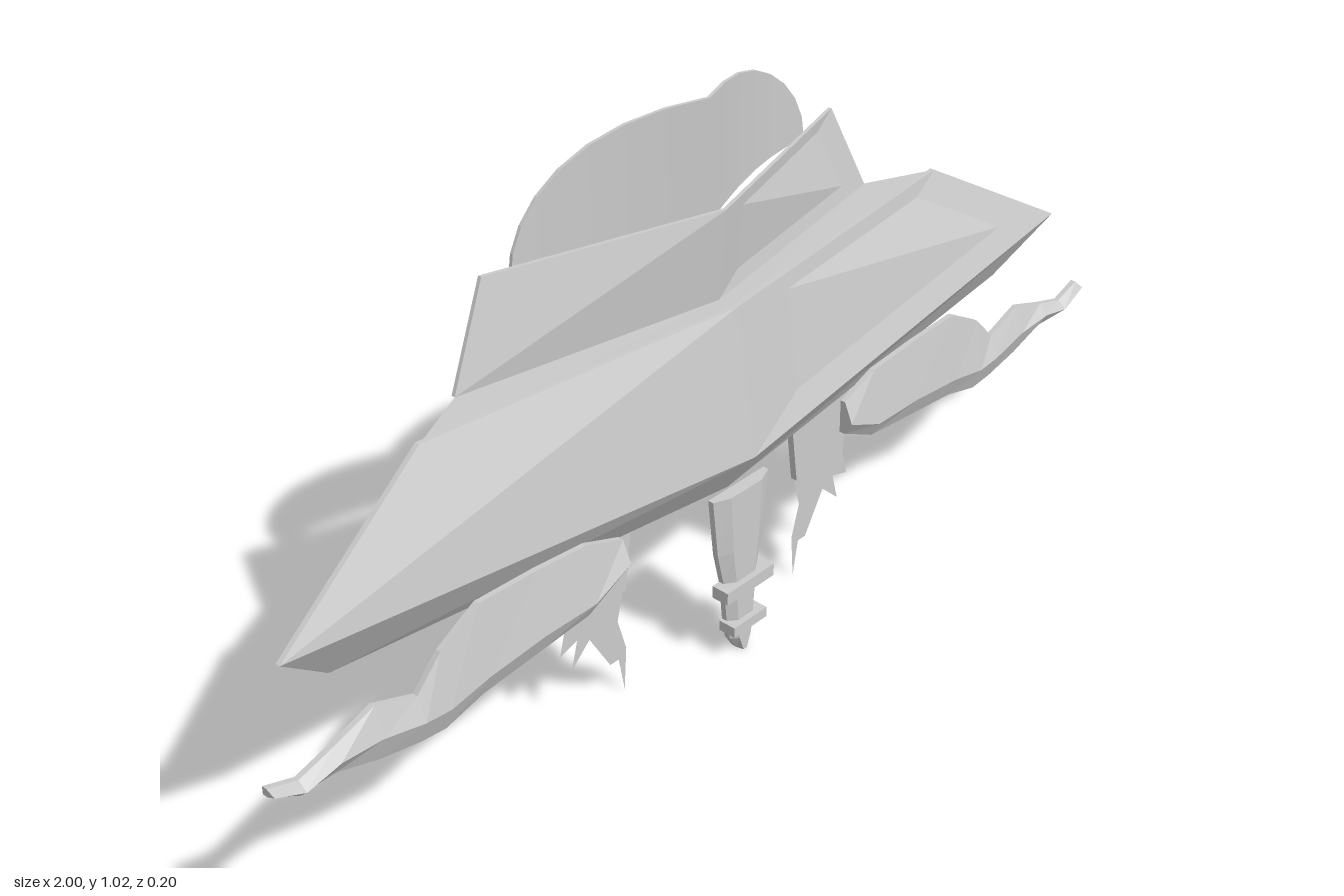
import * as THREE from 'three';

const grey = new THREE.MeshStandardMaterial({ color: 0xcccccc, flatShading: true, side: THREE.DoubleSide });

function mesh(name, geometry) {
  const m = new THREE.Mesh(geometry, grey);
  m.name = name;
  return m;
}

// Completes a centre-to-edge row with its mirror image
const mirrorRow = (row) => [...row.slice(1).reverse().map(([x, y, z]) => [-x, y, z]), ...row];

// Grid of points seen from the front (rows run upward); backZ closes it into a thin solid
function sheet(rows, backZ) {
  const pos = [];
  const quad = (a, b, c, d) => pos.push(...a, ...b, ...c, ...a, ...c, ...d);
  const back = ([x, y, z]) => [x, y, backZ(z)];
  for (let i = 0; i < rows.length - 1; i++) {
    for (let j = 0; j < rows[i].length - 1; j++) {
      const q = [rows[i][j], rows[i][j + 1], rows[i + 1][j + 1], rows[i + 1][j]];
      quad(...q);
      if (backZ) quad(...q.map(back).reverse());
    }
  }
  if (backZ) {
    const last = rows.length - 1;
    const rim = [
      ...rows[0],
      ...rows.slice(1, last).map((r) => r[r.length - 1]),
      ...[...rows[last]].reverse(),
      ...rows.slice(1, last).map((r) => r[0]).reverse(),
    ];
    rim.forEach((p, i) => {
      const q = rim[(i + 1) % rim.length];
      quad(p, back(p), back(q), q);
    });
  }
  const g = new THREE.BufferGeometry();
  g.setAttribute('position', new THREE.Float32BufferAttribute(pos, 3));
  g.computeVertexNormals();
  return g;
}

const outline = (pts) => new THREE.Shape(pts.map(([x, y]) => new THREE.Vector2(x, y)));

// Flat plate between z0 and z1
function plate(pts, z0, z1) {
  return new THREE.ExtrudeGeometry(outline(pts), { depth: z1 - z0, bevelEnabled: false }).translate(0, 0, z0);
}

export function createModel() {
  const model = new THREE.Group();
  model.name = 'saucer';

  // Hull: two folded panels meeting at the rim
  const hullTop = mirrorRow([[0, 0.69, 0.06], [0.615, 0.69, -0.012]]);
  model.add(mesh('hull', sheet([
    mirrorRow([[0, 0.335, 0.04], [0.82, 0.395, -0.008]]),
    mirrorRow([[0, 0.42, 0.1], [0.935, 0.5, 0.04]]),
    hullTop,
  ], (z) => z - 0.009)));

  // Ledge and upper deck
  const deckBase = mirrorRow([[0, 0.688, 0.02], [0.49, 0.688, -0.073]]);
  model.add(mesh('ledge', sheet([hullTop, deckBase])));
  model.add(mesh('upperDeck', sheet([
    deckBase,
    mirrorRow([[0, 0.855, 0.035], [0.41, 0.855, -0.088]]),
  ], (z) => z - 0.007)));

  // Dome: half-ellipse sheet that curves back toward its sides
  const domeRows = [];
  for (let i = 0; i <= 4; i++) {
    const row = [];
    for (let j = 0; j <= 8; j++) {
      const a = (j / 8) * Math.PI / 2;
      const x = Math.sin(a);
      row.push([0.345 * x, 0.82 + 0.215 * Math.cos(a) * i / 4, -0.095 * Math.sin(x * Math.PI / 2)]);
    }
    domeRows.push(mirrorRow(row));
  }
  model.add(mesh('dome', sheet(domeRows, (z) => z - 0.006)));

  // Arm stations: x, bottom, ridge, top
  const arm = [
    [0.28, 0.32, 0.345, 0.385], [0.36, 0.28, 0.31, 0.415], [0.47, 0.27, 0.31, 0.425],
    [0.59, 0.26, 0.3, 0.43], [0.67, 0.24, 0.285, 0.385], [0.72, 0.245, 0.29, 0.332],
    [0.8, 0.262, 0.31, 0.362], [0.88, 0.288, 0.315, 0.335], [0.945, 0.287, 0.302, 0.316],
    [1, 0.32, 0.328, 0.335],
  ];
  const armRows = [
    arm.map(([x, b]) => [x, b, 0.066]),
    arm.map(([x, , r]) => [x, r, 0.083]),
    arm.map(([x, , , t]) => [x, t, 0.066]),
  ];

  for (const [side, s] of [['left', 1], ['right', -1]]) {
    const rows = s > 0 ? armRows : armRows.map((r) => r.map(([x, y, z]) => [-x, y, z]).reverse());
    model.add(mesh(side + 'Arm', sheet(rows, () => 0.056)));

    // Outer leg with a paper-thin claw
    const flip = (pts) => pts.map(([x, y]) => [s * x, y]);
    model.add(mesh(side + 'Leg', plate(flip([
      [0.22, 0.225], [0.35, 0.225], [0.365, 0.39], [0.2, 0.38],
    ]), -0.003, 0.01)));
    const claw = new THREE.ShapeGeometry(outline(flip([
      [0.22, 0.225], [0.355, 0.225], [0.37, 0.168], [0.33, 0.18], [0.345, 0.125], [0.302, 0.165],
      [0.255, 0.085], [0.235, 0.085], [0.222, 0.015], [0.216, 0.1], [0.235, 0.165],
    ])));
    model.add(mesh(side + 'Claw', claw.translate(0, 0, 0.004)));
  }

  // Centre leg: half-width per height, with a raised flat front
  const legProfile = [[0.015, 0.008], [0.045, 0.027], [0.09, 0.035], [0.165, 0.042], [0.235, 0.058], [0.35, 0.07]];
  model.add(mesh('centreLeg', sheet(
    legProfile.map(([y, w]) => [[-w, y, 0.07], [-w * 0.55, y, 0.083], [w * 0.55, y, 0.083], [w, y, 0.07]]),
    () => 0.059,
  )));

  // Bands around the centre leg
  for (const [y, w, h] of [[0.158, 0.06, 0.024], [0.077, 0.042, 0.02]]) {
    model.add(mesh('legBand', new THREE.BoxGeometry(2 * w, h, 0.035).translate(0, y, 0.077)));
  }

  return model;
}
